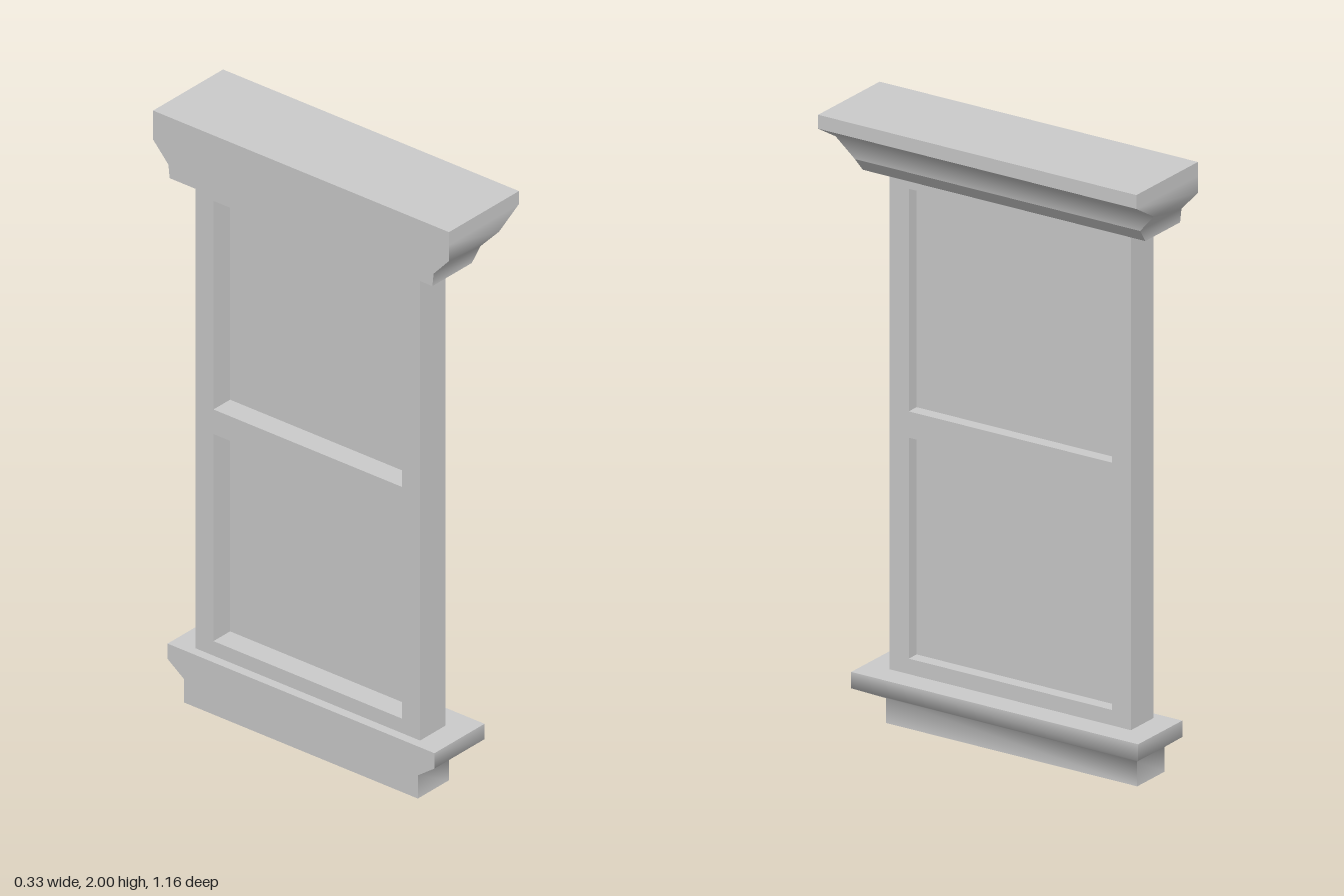
import * as THREE from 'three';
import { mergeGeometries } from 'three/addons/utils/BufferGeometryUtils.js';

const material = new THREE.MeshStandardMaterial({ color: 0xcccccc });
const paneMaterial = new THREE.MeshStandardMaterial({ color: 0xcccccc, side: THREE.DoubleSide });

// Smooth strip from rows of [left, right] points, listed top to bottom as seen from outside
function strip(rows) {
  const index = [];
  for (let i = 0; i < rows.length - 1; i++) {
    const k = i * 2;
    index.push(k, k + 2, k + 3, k, k + 3, k + 1);
  }
  const g = new THREE.BufferGeometry();
  g.setAttribute('position', new THREE.Float32BufferAttribute(rows.flat(2), 3));
  g.setIndex(index);
  g.computeVertexNormals();
  return g;
}

// Mitred moulding with a flat back. Rings are [y, front x, half width], top to bottom;
// frontRuns are the [first, last] ring ranges shaded smoothly on the front.
function moulding(name, back, rings, frontRuns) {
  const side = (fn, from = 0, to = rings.length - 1) => strip(rings.slice(from, to + 1).map(fn));
  const cap = ([y, x, z], s) => strip([
    [[back, y, -s * z], [x, y, -s * z]],
    [[back, y, s * z], [x, y, s * z]],
  ]);
  const parts = [
    ...frontRuns.map(([a, b]) => side(([y, x, z]) => [[x, y, z], [x, y, -z]], a, b)),
    side(([y, x, z]) => [[back, y, z], [x, y, z]]),
    side(([y, x, z]) => [[x, y, -z], [back, y, -z]]),
    side(([y, , z]) => [[back, y, -z], [back, y, z]]),
    cap(rings[0], 1),
    cap(rings[rings.length - 1], -1),
  ];
  const mesh = new THREE.Mesh(mergeGeometries(parts), material);
  mesh.name = name;
  return mesh;
}

function rectangle(path, halfWidth, bottom, top) {
  path.moveTo(-halfWidth, bottom);
  path.lineTo(halfWidth, bottom);
  path.lineTo(halfWidth, top);
  path.lineTo(-halfWidth, top);
  path.closePath();
  return path;
}

export function createModel() {
  const group = new THREE.Group();
  group.name = 'window';

  // Cornice over the window
  group.add(moulding('cornice', -0.165, [
    [2, 0.163, 0.58],
    [1.955, 0.163, 0.58],
    [1.9, 0.07, 0.58],
    [1.835, 0.055, 0.52],
    [1.79, 0.02, 0.515],
  ], [[0, 1], [1, 3], [3, 4]]));

  // Sill below the window
  group.add(moulding('sill', -0.165, [
    [0.18, 0.07, 0.523],
    [0.127, 0.07, 0.523],
    [0.08, -0.02, 0.458],
    [0, -0.02, 0.458],
  ], [[0, 3]]));

  // Frame with two sash openings
  const openings = [[0.23, 0.945], [1.03, 1.75]];
  const shape = rectangle(new THREE.Shape(), 0.44, 0.18, 1.79);
  openings.forEach(([b, t]) => shape.holes.push(rectangle(new THREE.Path(), 0.37, b, t)));
  const frameGeometry = new THREE.ExtrudeGeometry(shape, { depth: 0.12, bevelEnabled: false });
  frameGeometry.rotateY(Math.PI / 2).translate(-0.133, 0, 0);
  const frame = new THREE.Mesh(frameGeometry, material);
  frame.name = 'frame';
  group.add(frame);

  // Panes set back in the openings
  openings.forEach(([b, t], i) => {
    const pane = new THREE.Mesh(new THREE.PlaneGeometry(0.74, t - b), paneMaterial);
    pane.rotation.y = Math.PI / 2;
    pane.position.set(-0.055, (b + t) / 2, 0);
    pane.name = i ? 'upperPane' : 'lowerPane';
    group.add(pane);
  });

  return group;
}
